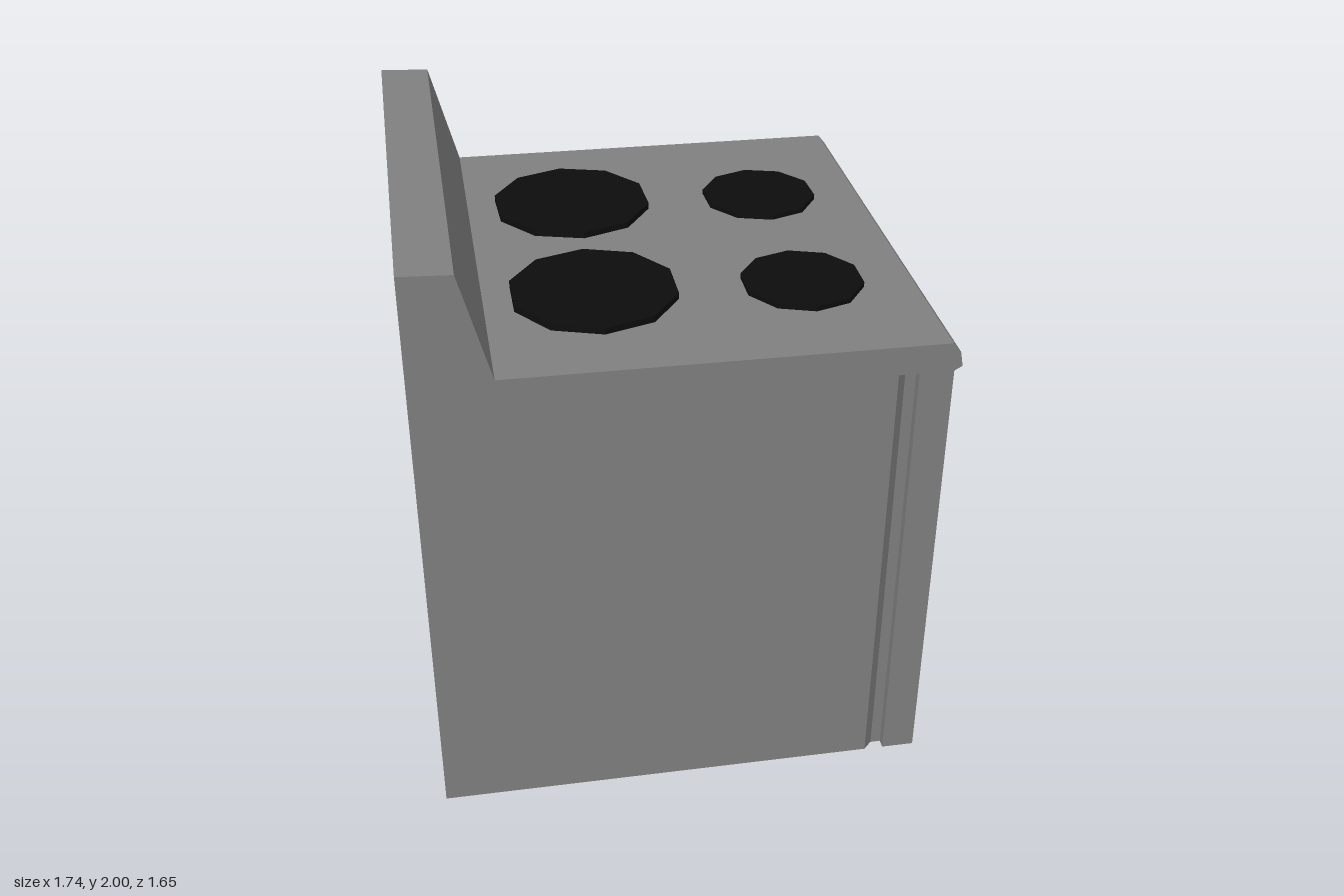
import * as THREE from 'three';

const FRONT = 0.825, BACK = -0.83;
const GROOVE_TOP = 1.54, GROOVE_DEPTH = 0.03;

// Open ribbon: sweeps a polyline of 3D points along an offset, one flat quad per segment.
function ribbon(points, offset) {
  const pos = [];
  for (let i = 0; i < points.length - 1; i++) {
    const a = points[i], b = points[i + 1];
    const c = b.clone().add(offset), d = a.clone().add(offset);
    for (const p of [a, b, c, a, c, d]) pos.push(p.x, p.y, p.z);
  }
  const geo = new THREE.BufferGeometry();
  geo.setAttribute('position', new THREE.Float32BufferAttribute(pos, 3));
  geo.computeVertexNormals();
  return geo;
}

export function createModel() {
  const group = new THREE.Group();
  const enamel = new THREE.MeshStandardMaterial({ color: 0x808080, side: THREE.DoubleSide });
  enamel.name = 'grey enamel';
  const iron = new THREE.MeshStandardMaterial({ color: 0x0d0d0d, flatShading: true });
  iron.name = 'black iron';

  const add = (name, geo, mat, x = 0, y = 0, z = 0) => {
    const mesh = new THREE.Mesh(geo, mat);
    mesh.name = name;
    mesh.position.set(x, y, z);
    group.add(mesh);
    return mesh;
  };

  // Stove outline: door, lip, cooktop, splashback, rear wall; the underside is open
  const profile = [
    [0.79, 0], [0.79, 1.54], [0.815, 1.555], [0.805, 1.605], [0.78, 1.637],
    [-0.61, 1.642], [-0.705, 1.993], [-0.87, 2], [-0.86, 0],
  ];
  add('shell', ribbon(profile.map(([x, y]) => new THREE.Vector3(x, y, BACK)),
    new THREE.Vector3(0, 0, FRONT - BACK)), enamel);

  // Side panels with a slot for the door groove
  const slot = [[0.615, 0], [0.615, GROOVE_TOP], [0.68, GROOVE_TOP], [0.68, 0]];
  const panel = new THREE.Shape([...profile, ...slot].map(([x, y]) => new THREE.Vector2(x, y)));

  // Groove section: sloped wall, floor, straight wall
  const section = [[0.615, 0], [0.645, GROOVE_DEPTH], [0.68, GROOVE_DEPTH], [0.68, 0]];

  for (const [label, z, inward] of [['left', FRONT, -1], ['right', BACK, 1]]) {
    const side = label === 'left' ? 'Front' : 'Back';
    add('sidePanel' + side, new THREE.ShapeGeometry(panel), enamel, 0, 0, z);
    add('doorGroove' + side, ribbon(
      section.map(([x, d]) => new THREE.Vector3(x, 0, z + inward * d)),
      new THREE.Vector3(0, GROOVE_TOP, 0)), enamel);
    const cap = new THREE.ShapeGeometry(
      new THREE.Shape(section.map(([x, d]) => new THREE.Vector2(x, inward * d))));
    cap.rotateX(Math.PI / 2);
    add('grooveCap' + side, cap, enamel, 0, GROOVE_TOP, z);
  }

  // Ten-sided hotplates: x, z, radius, bottom, top
  const plates = [
    [-0.245, -0.34, 0.275, 1.642, 1.664],
    [-0.255, 0.333, 0.275, 1.642, 1.664],
    [0.425, -0.312, 0.2, 1.637, 1.655],
    [0.42, 0.363, 0.2, 1.637, 1.655],
  ];
  plates.forEach(([x, z, r, y0, y1], i) => {
    const plate = add('hotplate' + (i + 1), new THREE.CylinderGeometry(r, r, y1 - y0, 10),
      iron, x, (y0 + y1) / 2, z);
    if (z < 0) plate.rotation.y = 0.04;
  });

  // Door handle
  add('doorHandle', new THREE.BoxGeometry(0.077, 0.07, 0.925), enamel, 0.8265, 1.365, 0);

  return group;
}
